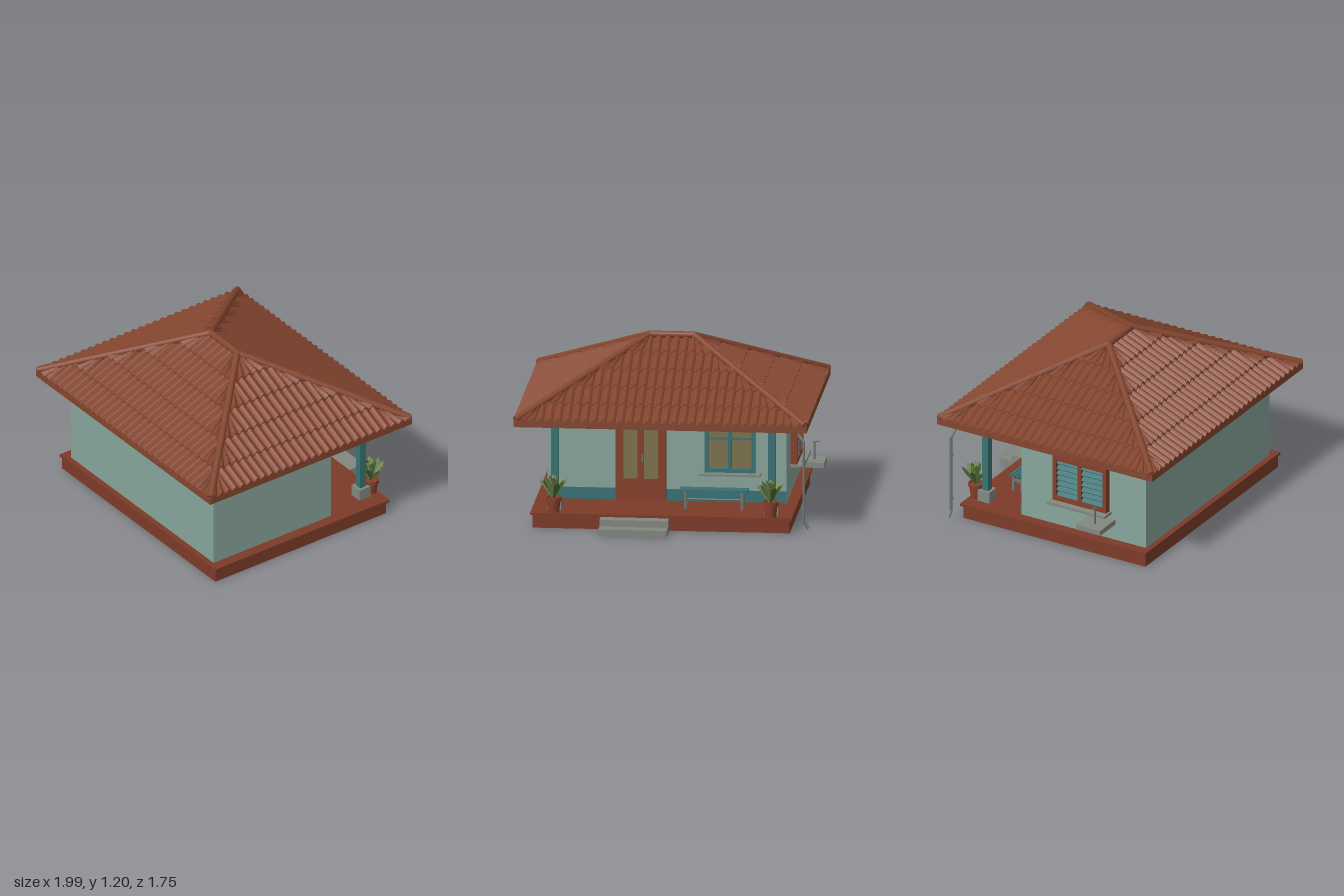
import * as THREE from 'three';

const mat = (name, color, side = THREE.FrontSide) => {
  const m = new THREE.MeshStandardMaterial({ color, side });
  m.name = name;
  return m;
};

export function createModel() {
  const M = {
    roof: mat('roofTile', 0x84462f, THREE.DoubleSide),
    floor: mat('redFloor', 0x7c3b28),
    wood: mat('redWood', 0x86402a),
    wall: mat('paleTealWall', 0x87a59b),
    teal: mat('darkTeal', 0x3a7375),
    grey: mat('concrete', 0x82877f),
    metal: mat('greyMetal', 0x70766f),
    glass: mat('amberGlass', 0x7d7350),
    leaf: mat('leafGreen', 0x7c9550, THREE.DoubleSide),
    leafDark: mat('leafDarkGreen', 0x4f6b3c, THREE.DoubleSide),
  };
  const house = new THREE.Group();
  house.name = 'house';

  const add = (name, geo, material, parent = house) => {
    const m = new THREE.Mesh(geo, material);
    m.name = name;
    parent.add(m);
    return m;
  };
  // box given by its minimum and maximum on each axis
  const box = (name, material, [x0, x1], [y0, y1], [z0, z1], parent = house) => {
    const m = add(name, new THREE.BoxGeometry(x1 - x0, y1 - y0, z1 - z0), material, parent);
    m.position.set((x0 + x1) / 2, (y0 + y1) / 2, (z0 + z1) / 2);
    return m;
  };
  const rod = (name, material, a, b, r, parent = house, sides = 10) => {
    const p = new THREE.Vector3(...a), q = new THREE.Vector3(...b);
    const m = add(name, new THREE.CylinderGeometry(r, r, p.distanceTo(q), sides), material, parent);
    m.position.copy(p).lerp(q, 0.5);
    m.quaternion.setFromUnitVectors(new THREE.Vector3(0, 1, 0), q.sub(p).normalize());
    return m;
  };
  const group = (name, x, y, z, ry = 0) => {
    const g = new THREE.Group();
    g.name = name;
    g.position.set(x, y, z);
    g.rotation.y = ry;
    house.add(g);
    return g;
  };

  // Plinth, porch floor and entrance steps
  box('plinth', M.floor, [-0.86, 0.87], [0, 0.09], [-0.68, 0.74]);
  box('floorSlab', M.floor, [-0.875, 0.885], [0.09, 0.107], [-0.7, 0.75]);
  box('upperStep', M.grey, [-0.05, 0.41], [0, 0.09], [-0.79, -0.705]);
  box('lowerStep', M.grey, [-0.05, 0.41], [0, 0.045], [-0.877, -0.79]);

  // Walls, with a painted band along the porch
  box('walls', M.wall, [-0.8, 0.81], [0.107, 0.735], [-0.265, 0.71]);
  box('porchBandLeft', M.teal, [0.35, 0.81], [0.107, 0.187], [-0.271, -0.264]);
  box('porchBandRight', M.teal, [-0.8, 0.01], [0.107, 0.187], [-0.271, -0.264]);

  // Roof
  const EX = 0.985, EZ = 0.84, RX = 0.15, Y0 = 0.752, Y1 = 1.165;
  const roof = group('roof', 0, 0, 0.027);
  const PROFILE = [0, 0, 0.012, 0.02, 0.02, 0.012]; // one channel and one rounded cover
  const PERIOD = 0.06;

  // One roof side as stepped, corrugated courses trimmed at the hips
  const slopeGeometry = (halfEave, halfRidge, run, offset, courses, relief, drop) => {
    const steps = relief ? Math.ceil(halfEave / PERIOD) * PROFILE.length : 1;
    const du = relief ? PERIOD / PROFILE.length : halfEave;
    const pos = [], idx = [], cols = 2 * steps + 1;
    const row = (s, lift, wave) => {
      const lim = halfEave + (halfRidge - halfEave) * s;
      for (let i = -steps; i <= steps; i++) {
        const u = Math.max(-lim, Math.min(lim, i * du));
        const h = wave ? PROFILE[(i + steps) % PROFILE.length] + lift : 0;
        pos.push(u, Y0 - drop + (Y1 - Y0) * s + h, offset + run * (1 - s));
      }
    };
    for (let k = 0; k < courses; k++) {
      if (relief) row(k / courses, 0, false);
      row(k / courses, 0.012, relief);
      row((k + 1) / courses, 0, relief);
    }
    for (let r = 0; r < pos.length / 3 / cols - 1; r++) {
      for (let i = 0; i < cols - 1; i++) {
        const a = r * cols + i, b = a + cols;
        idx.push(a, a + 1, b, a + 1, b + 1, b);
      }
    }
    const g = new THREE.BufferGeometry();
    g.setAttribute('position', new THREE.Float32BufferAttribute(pos, 3));
    g.setIndex(idx);
    const flat = g.toNonIndexed();
    flat.computeVertexNormals();
    return flat;
  };
  ['front', 'left', 'back', 'right'].forEach((side, i) => {
    const args = i % 2 ? [EZ, 0, EX - RX, RX] : [EX, RX, EZ, 0];
    add(side + 'Tiles', slopeGeometry(...args, 5, true, 0), M.roof, roof).rotation.y = i * Math.PI / 2;
    add(side + 'RoofDeck', slopeGeometry(...args, 1, false, 0.012), M.roof, roof).rotation.y = i * Math.PI / 2;
  });

  // Fascia boards, hip caps and ridge cap
  for (const s of [-1, 1]) {
    const zf = s * (EZ - 0.01), xf = s * (EX - 0.01);
    box('fasciaLong', M.roof, [-EX, EX], [0.722, 0.766], [zf - 0.01, zf + 0.01], roof);
    box('fasciaShort', M.roof, [xf - 0.01, xf + 0.01], [0.722, 0.766], [-EZ, EZ], roof);
    for (const t of [-1, 1]) {
      rod('hipCap', M.roof, [s * 0.975, 0.772, t * 0.83], [s * RX, 1.18, 0], 0.024, roof);
    }
  }
  rod('ridgeCap', M.roof, [-RX - 0.012, 1.18, 0], [RX + 0.012, 1.18, 0], 0.024, roof);

  // Battens below the porch roof
  for (let i = 1; i <= 4; i++) {
    const s = i * 0.125, half = EX + (RX - EX) * s - 0.02;
    const y = Y0 + (Y1 - Y0) * s - 0.026, z = -EZ * (1 - s);
    box('porchBatten', M.wood, [-half, half], [y - 0.012, y + 0.012], [z - 0.015, z + 0.015], roof);
  }

  // Rectangular frame standing on local y = 0, facing local +z
  const frame = (name, parent, material, w, h, t, depth, sill = true) => {
    for (const s of [-1, 1]) {
      const x = s * (w - t) / 2;
      box(name + 'Jamb', material, [x - t / 2, x + t / 2], [0, h], [0, depth], parent);
    }
    box(name + 'Head', material, [-w / 2 + t, w / 2 - t], [h - t, h], [0, depth], parent);
    if (sill) box(name + 'Rail', material, [-w / 2 + t, w / 2 - t], [0, t], [0, depth], parent);
  };

  // Double door
  const door = group('door', 0.18, 0.107, -0.264, Math.PI);
  frame('doorFrame', door, M.wood, 0.34, 0.593, 0.03, 0.038, false);
  box('doorLeaves', M.wood, [-0.14, 0.14], [0, 0.565], [0, 0.018], door);
  for (const s of [-1, 1]) {
    const x = s * 0.069;
    box('doorGlass', M.glass, [x - 0.046, x + 0.046], [0.15, 0.53], [0.018, 0.022], door);
    box('doorPanel', M.wood, [x - 0.046, x + 0.046], [0.03, 0.12], [0.018, 0.024], door);
  }
  rod('doorHandle', M.metal, [0.014, 0.27, 0.042], [0.014, 0.32, 0.042], 0.006, door);
  rod('handleStem', M.metal, [0.014, 0.295, 0.015], [0.014, 0.295, 0.042], 0.005, door);

  // Porch window with its sill
  const win = group('porchWindow', -0.42, 0.315, -0.264, Math.PI);
  frame('windowFrame', win, M.teal, 0.34, 0.35, 0.025, 0.035);
  box('windowGlass', M.glass, [-0.15, 0.15], [0.02, 0.33], [0, 0.009], win);
  box('windowMullion', M.teal, [-0.012, 0.012], [0.02, 0.33], [0, 0.028], win);
  box('windowTransom', M.teal, [-0.15, 0.15], [0.225, 0.24], [0, 0.025], win);
  box('porchSill', M.grey, [-0.21, 0.21], [-0.015, 0], [0, 0.086], win);

  // Louvred side window with its sill
  const side = group('sideWindow', -0.8, 0.31, 0.215, -Math.PI / 2);
  frame('louvreFrame', side, M.wood, 0.42, 0.328, 0.03, 0.046);
  box('louvreBacking', M.leafDark, [-0.18, 0.18], [0.02, 0.31], [0, 0.008], side);
  box('louvreMullion', M.wood, [-0.012, 0.012], [0.02, 0.31], [0, 0.046], side);
  for (let i = 0; i < 7; i++) {
    const y = 0.045 + i * 0.04;
    box('louvre', M.teal, [-0.18, 0.18], [y - 0.003, y + 0.003], [0.008, 0.044], side).rotation.x = 0.6;
  }
  box('sideSill', M.grey, [-0.225, 0.225], [-0.018, 0], [0, 0.095], side);

  // Wash slab with a bent tap
  box('washSlab', M.grey, [-1, -0.8], [0.222, 0.257], [0.28, 0.47]);
  rod('tapRiser', M.metal, [-0.925, 0.25, 0.385], [-0.925, 0.382, 0.385], 0.006);
  rod('tapSpout', M.metal, [-0.92, 0.38, 0.385], [-0.958, 0.38, 0.385], 0.006);

  // Downpipe and its clips
  const pipe = new THREE.CurvePath();
  const bends = [[-0.922, 0.74, -0.7], [-0.922, 0.685, -0.705], [-0.958, 0.64, -0.718],
    [-0.958, 0.09, -0.718], [-0.99, 0.045, -0.718]].map(p => new THREE.Vector3(...p));
  for (let i = 1; i < bends.length; i++) pipe.add(new THREE.LineCurve3(bends[i - 1], bends[i]));
  add('downpipe', new THREE.TubeGeometry(pipe, 60, 0.01, 8), M.metal);
  for (const y of [0.18, 0.51]) rod('pipeClip', M.metal, [-0.958, y - 0.007, -0.718], [-0.958, y + 0.007, -0.718], 0.016);

  // Bench
  const bench = group('bench', -0.33, 0.107, -0.457);
  for (let i = 0; i < 4; i++) {
    const z = -0.036 + i * 0.024;
    box('benchSlat', M.teal, [-0.23, 0.23], [0.122, 0.134], [z - 0.009, z + 0.009], bench);
  }
  for (const s of [-1, 1]) {
    const x = s * 0.19;
    box('benchCrossRail', M.metal, [x - 0.01, x + 0.01], [0.11, 0.122], [-0.058, 0.058], bench);
    for (const z of [-0.034, 0.034]) {
      box('benchLeg', M.metal, [x - 0.009, x + 0.009], [0, 0.11], [z - 0.009, z + 0.009], bench);
    }
    box('benchTie', M.metal, [x - 0.006, x + 0.006], [0.075, 0.087], [-0.03, 0.03], bench);
  }
  rod('benchStretcher', M.metal, [-0.19, 0.06, 0], [0.19, 0.06, 0], 0.006, bench);

  // Porch columns and potted plants
  const potProfile = [[0, 0], [0.036, 0], [0.046, 0.08], [0.053, 0.08], [0.054, 0.106], [0.045, 0.106], [0.043, 0.09], [0, 0.09]]
    .map(p => new THREE.Vector2(...p));
  const blade = new THREE.Shape([[-0.005, 0], [0.005, 0], [0.025, 0.125], [0.008, 0.165], [-0.02, 0.14]]
    .map(p => new THREE.Vector2(...p)));
  for (const s of [-1, 1]) {
    const x = s * 0.73;
    box('columnBase', M.grey, [x - 0.045, x + 0.045], [0.107, 0.187], [-0.62, -0.53]);
    box('column', M.teal, [x - 0.025, x + 0.025], [0.187, 0.82], [-0.6, -0.55]);

    const plant = group('pottedPlant', x, 0.107, -0.66);
    add('pot', new THREE.LatheGeometry(potProfile, 16).toNonIndexed(), M.wood, plant).geometry.computeVertexNormals();
    for (let i = 0; i < 15; i++) {
      const inner = i >= 9;
      const leaf = add('leaf', new THREE.ShapeGeometry(blade), i % 2 ? M.leafDark : M.leaf, plant);
      leaf.position.y = 0.088;
      leaf.rotation.order = 'YXZ';
      leaf.rotation.set(inner ? 0.2 : 0.5 + (i % 3) * 0.07, i * Math.PI * 2 / (inner ? 6 : 9), 0);
    }
  }
  return house;
}
